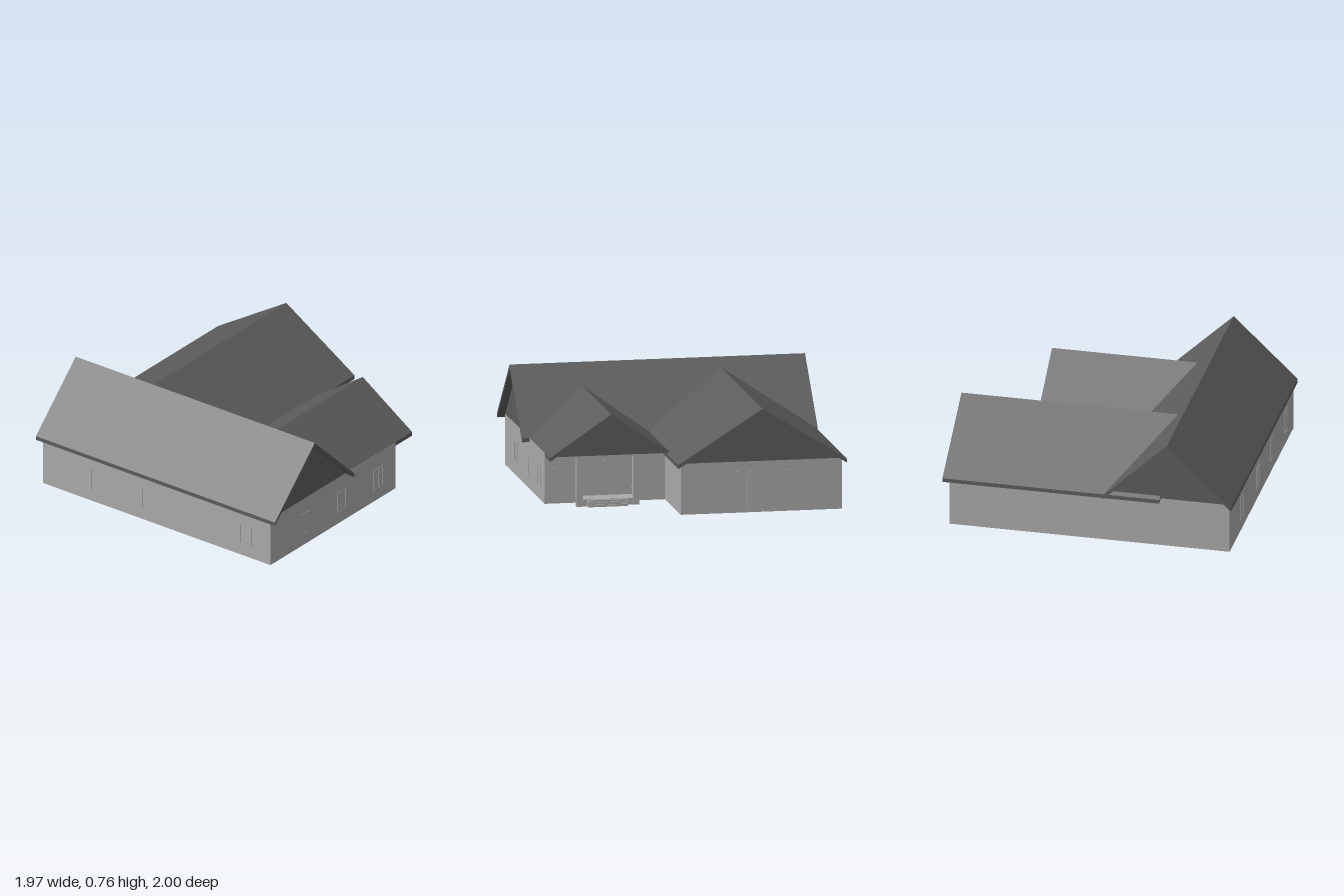
import * as THREE from 'three';

const wallMat = new THREE.MeshStandardMaterial({ color: 0xaaaaaa });
const roofMat = new THREE.MeshStandardMaterial({ color: 0x5c5c5c, side: THREE.DoubleSide });

const EAVE = 0.345, T = 0.027;

export function createModel() {
  const house = new THREE.Group();
  house.name = 'house';

  const add = (name, geo, mat = wallMat, parent = house) => {
    const m = new THREE.Mesh(geo, mat);
    m.name = name;
    parent.add(m);
    return m;
  };
  // Box given by its two extreme corners
  const box = (name, [x0, y0, z0], [x1, y1, z1], mat = wallMat, parent = house) => {
    const m = add(name, new THREE.BoxGeometry(x1 - x0, y1 - y0, z1 - z0), mat, parent);
    m.position.set((x0 + x1) / 2, (y0 + y1) / 2, (z0 + z1) / 2);
  };
  const poly = (pts) => new THREE.Shape(pts.map(([x, y]) => new THREE.Vector2(x, y)));
  const extrude = (shape, depth) => new THREE.ExtrudeGeometry(shape, { depth, bevelEnabled: false });

  // Outer walls: footprint ring, drawn as (x, -z) and raised
  const ring = poly([[-0.967, -0.949], [0.4, -0.949], [0.4, -0.135], [0.942, -0.135], [0.942, 0.955], [-0.967, 0.955]]);
  ring.holes.push(poly([[-0.957, -0.939], [-0.957, 0.945], [0.932, 0.945], [0.932, -0.125], [0.39, -0.125], [0.39, -0.939]]));
  add('walls', extrude(ring, EAVE).rotateX(-Math.PI / 2));
  box('innerWall', [-0.15, 0, 0.125], [0.395, EAVE, 0.135]);

  // Flat ceilings at eave height, and the block of the garage room
  box('mainCeiling', [-0.957, 0.342, -0.945], [-0.14, EAVE, 0.939], roofMat);
  box('backWingCeiling', [-0.14, 0.342, -0.945], [0.932, EAVE, 0.125], roofMat);
  box('frontWingCeiling', [-0.14, 0.342, 0.135], [0.545, EAVE, 0.935], roofMat);
  box('garageRoom', [-0.06, 0, -0.78], [0.932, 0.23, -0.145]);

  // Gabled roof: chevron slab in (u, y) swept along its ridge, plus gable triangles
  const gableRoof = (name, mid, half, ridge, from, to, gables, turned) => {
    const g = new THREE.Group();
    g.name = name;
    const e = EAVE - T;
    const slab = poly([[mid - half, e], [mid, ridge - T], [mid + half, e],
      [mid + half, EAVE], [mid, ridge], [mid - half, EAVE]]);
    add('roofSlab', extrude(slab, to - from).translate(0, 0, from), roofMat, g);
    const k = T * half / (ridge - EAVE);
    const tri = poly([[mid - half + k, EAVE], [mid + half - k, EAVE], [mid, ridge - T]]);
    for (const at of gables) add('gable', new THREE.ShapeGeometry(tri).translate(0, 0, at), roofMat, g);
    // Turned roofs run along x: local z -> x, local x -> -z
    if (turned) g.rotation.y = Math.PI / 2;
    house.add(g);
  };
  gableRoof('mainRoof', -0.55, 0.435, 0.76, -1, 1, [-0.955, 0.949], false);
  gableRoof('backWingRoof', 0.412, 0.571, 0.705, -0.495, 0.983, [0.942], true);
  gableRoof('frontWingRoof', -0.535, 0.413, 0.625, -0.415, 0.582, [0.545], true);

  // Framed opening facing +z about its own origin, going through the wall, with a pane and bars
  const opening = (name, w, h, cols, rows, [x, y, z], turn) => {
    const g = new THREE.Group();
    g.name = name;
    const f = 0.008;
    const bar = (n, bx, by, bw, bh, d) =>
      box(n, [bx - bw / 2, by - bh / 2, -0.01 - d], [bx + bw / 2, by + bh / 2, d], wallMat, g);
    bar('pane', 0, 0, w, h, 0.001);
    for (const s of [-1, 1]) {
      bar('frameSide', s * (w - f) / 2, 0, f, h, 0.003);
      bar('frameRail', 0, s * (h - f) / 2, w, f, 0.003);
    }
    for (let i = 1; i < cols; i++) bar('uprightBar', w * (i / cols - 0.5), 0, 0.004, h, 0.002);
    for (let i = 1; i < rows; i++) bar('crossBar', 0, h * (i / rows - 0.5), w, 0.004, 0.002);
    g.position.set(x, y, z);
    g.rotation.y = turn;
    house.add(g);
  };

  // Windows as [x, z, turn]
  const windows = [
    ...[-0.59, -0.19, 0.21].map((x) => [x, 0.949, 0]),
    ...[-0.6, -0.12, 0.31, 0.74].map((z) => [-0.967, z, -Math.PI / 2]),
    [-0.57, -0.955, Math.PI],
    [0.4, 0.85, Math.PI / 2],
  ];
  for (const [x, z, turn] of windows) opening('window', 0.1, 0.155, 2, 3, [x, 0.158, z], turn);

  // Garage door in the side wall
  opening('garageDoor', 0.38, 0.265, 4, 5, [0.942, 0.145, -0.415], Math.PI / 2);

  // Front door with knob
  opening('frontDoor', 0.13, 0.23, 1, 1, [0.4, 0.165, 0.55], Math.PI / 2);
  add('doorKnob', new THREE.SphereGeometry(0.005, 10, 8)).position.set(0.407, 0.145, 0.5);

  // Porch: platform, and steps between two cheeks
  box('porchFloor', [0.4, 0, 0.36], [0.535, 0.045, 0.74]);
  [0.576, 0.564, 0.552].forEach((x, i) => box('step', [0.53, i * 0.014, 0.425], [x, (i + 1) * 0.014, 0.685]));
  for (const z of [0.42, 0.685]) box('stepCheek', [0.53, 0, z], [0.58, 0.042, z + 0.006]);

  // Columns and low railings
  for (const z of [0.357, 0.74]) {
    box('column', [0.505, 0, z - 0.021], [0.545, EAVE, z + 0.021]);
    box('handrail', [0.4, 0.096, z - 0.007], [0.505, 0.104, z + 0.007]);
    for (const x of [0.44, 0.475]) box('baluster', [x - 0.003, 0.045, z - 0.003], [x + 0.003, 0.097, z + 0.003]);
  }

  return house;
}
